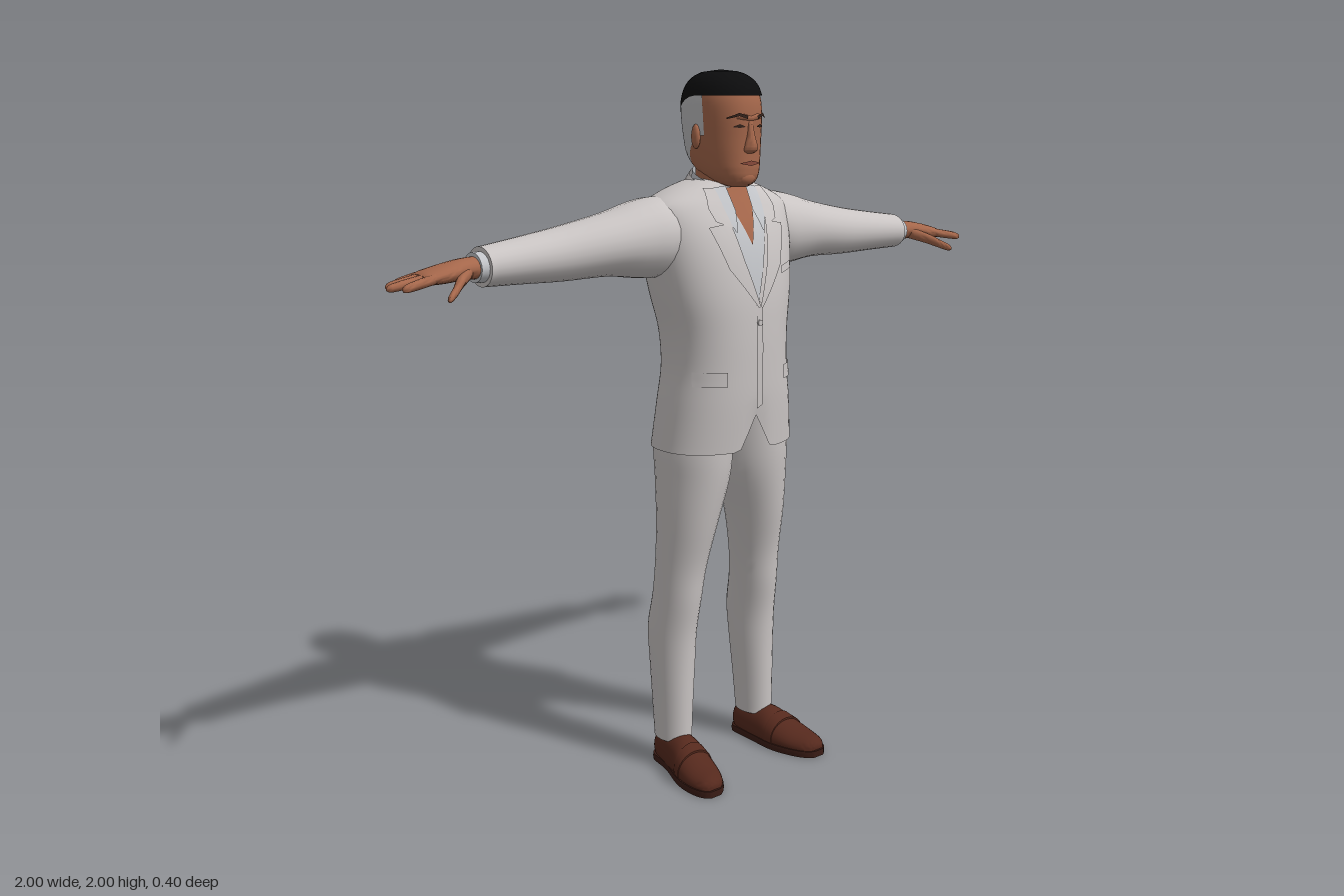
import * as THREE from 'three';
import { toCreasedNormals } from 'three/addons/utils/BufferGeometryUtils.js';

const mat = (name, color) => new THREE.MeshStandardMaterial({ name, color, side: THREE.DoubleSide });
const M = {
  suit: mat('suit cloth', 0xc9c4c3), shirt: mat('shirt cloth', 0xc2c4c8), skin: mat('skin', 0xa5674b),
  lip: mat('lips', 0x87493a), black: mat('black hair', 0x0c0c0d), grey: mat('grey hair', 0xbcbcbe),
  brow: mat('brows and eyes', 0x35241d), shoe: mat('shoe leather', 0x55291d), sole: mat('shoe sole', 0x3a1c15),
};

// Smoothly subdivide sections [along, c1, c2, r1, r2, exponent]
function dense(sec, k = 4) {
  const out = [], n = sec.length, g = i => sec[Math.min(Math.max(i, 0), n - 1)];
  for (let i = 0; i < n - 1; i++) for (let j = 0; j < k; j++) {
    const t = j / k;
    out.push([0, 1, 2, 3, 4, 5].map(c => {
      const [a, b, d, e] = [g(i - 1), g(i), g(i + 1), g(i + 2)].map(s => s[c] ?? 2);
      return b + 0.5 * t * (d - a + t * (2 * a - 5 * b + 4 * d - e + t * (3 * (b - d) + e - a)));
    }));
  }
  out.push([0, 1, 2, 3, 4, 5].map(c => sec[n - 1][c] ?? 2));
  return out;
}
const spow = (v, e) => Math.sign(v) * Math.abs(v) ** e;
const ringPoint = ([y, cx, cz, rx, rz, e], a, s = 1) => new THREE.Vector3(
  cx + s * Math.max(rx, 5e-4) * spow(Math.cos(a), 2 / e), y, cz + s * Math.max(rz, 5e-4) * spow(Math.sin(a), 2 / e));

// Section at a given height, and the front surface depth there
function sectionAt(D, y) {
  let i = 0;
  while (i < D.length - 2 && D[i + 1][0] < y) i++;
  const t = THREE.MathUtils.clamp((y - D[i][0]) / (D[i + 1][0] - D[i][0]), 0, 1);
  return D[i].map((v, c) => v + (D[i + 1][c] - v) * t);
}
function frontZ(D, x, y) {
  const [, cx, cz, rx, rz, e] = sectionAt(D, y);
  return cz + rz * Math.max(0, 1 - Math.abs((x - cx) / rx) ** e) ** (1 / e);
}

// Grid surface from f(column, row)
function grid(cols, rows, f, caps = false, crease = 0.9) {
  const p = [], idx = [], w = cols + 1;
  for (let r = 0; r <= rows; r++) for (let c = 0; c <= cols; c++) p.push(f(c, r));
  for (let r = 0; r < rows; r++) for (let c = 0; c < cols; c++) {
    const a = r * w + c, b = a + 1, d = a + w, e = d + 1;
    idx.push(a, d, b, b, d, e);
  }
  if (caps) for (const r of [0, rows]) {
    const mid = new THREE.Vector3();
    for (let c = 0; c < cols; c++) mid.addScaledVector(p[r * w + c], 1 / cols);
    const m = p.push(mid) - 1;
    for (let c = 0; c < cols; c++) {
      const a = r * w + c;
      idx.push(m, ...(r ? [a + 1, a] : [a, a + 1]));
    }
  }
  const geo = new THREE.BufferGeometry().setFromPoints(p);
  geo.setIndex(idx);
  return toCreasedNormals(geo, crease);
}

// Loft along x, y or z
function loft(sec, { axis = 'y', n = 20, caps = true, tweak = null, k = 4 } = {}) {
  const D = dense(sec, k);
  return grid(n, D.length - 1, (c, r) => {
    let v = ringPoint(D[r], (c % n) / n * Math.PI * 2);
    if (axis === 'x') v = new THREE.Vector3(v.y, v.z, v.x);
    if (axis === 'z') v = new THREE.Vector3(v.z, v.x, v.y);
    if (tweak) tweak(v);
    return v;
  }, caps);
}

// Thin panel laid on a front surface between two edge lines of [x, y] points
function drape(D, A, B, off) {
  const k = 5, n = 8, rows = (A.length - 1) * k;
  const at = (L, r) => {
    const i = Math.min(Math.floor(r / k), L.length - 2), t = r / k - i;
    return [0, 1].map(c => L[i][c] + (L[i + 1][c] - L[i][c]) * t);
  };
  return grid(n, rows, (c, r) => {
    const a = at(A, r), b = at(B, r), t = c / n;
    const x = a[0] + (b[0] - a[0]) * t, y = a[1] + (b[1] - a[1]) * t;
    return new THREE.Vector3(x, y, frontZ(D, x, y) + off);
  });
}

function mirrored(geo) {
  const g = geo.clone();
  for (const name of ['position', 'normal']) {
    const a = g.attributes[name];
    for (let i = 0; i < a.count; i += 3) {
      const v = [0, 2, 1].map(j => new THREE.Vector3().fromBufferAttribute(geo.attributes[name], i + j));
      v.forEach((q, j) => a.setXYZ(i + j, -q.x, q.y, q.z));
    }
  }
  return g;
}

const TORSO = [
  [0.97, 0, -0.022, 0.213, 0.155, 2.3], [1.1, 0, -0.012, 0.196, 0.154, 2.3], [1.2, 0, -0.008, 0.182, 0.152, 2.3],
  [1.3, 0, -0.013, 0.185, 0.156, 2.3], [1.4, 0, -0.026, 0.205, 0.163, 2.3], [1.5, 0, -0.04, 0.222, 0.16, 2.3],
  [1.58, 0, -0.05, 0.232, 0.145, 2.3], [1.64, 0, -0.054, 0.228, 0.117, 2.3], [1.675, 0, -0.055, 0.175, 0.098, 2.2],
  [1.7, 0, -0.052, 0.11, 0.082, 2], [1.715, 0, -0.045, 0.055, 0.06, 2]];
const HEAD = [
  [1.692, 0, 0.05, 0.025, 0.03], [1.705, 0, 0.04, 0.05, 0.056, 2.2], [1.73, 0, 0.012, 0.069, 0.092, 2.3],
  [1.77, 0, -0.008, 0.08, 0.112, 2.3], [1.82, 0, -0.014, 0.086, 0.118, 2.3], [1.88, 0, -0.017, 0.089, 0.123, 2.3],
  [1.925, 0, -0.018, 0.089, 0.119, 2.2], [1.96, 0, -0.018, 0.079, 0.104, 2.1], [1.983, 0, -0.02, 0.058, 0.075],
  [1.993, 0, -0.022, 0.03, 0.04], [1.996, 0, -0.022, 0.002, 0.002]];

export function createModel() {
  const root = new THREE.Group();
  root.name = 'suitedMan';
  const add = (name, geo, m) => {
    const mesh = new THREE.Mesh(geo, m);
    mesh.name = name;
    root.add(mesh);
  };
  const pair = (name, geo, m) => {
    add(name + 'Left', geo, m);
    add(name + 'Right', mirrored(geo), m);
  };
  const T = dense(TORSO), H = dense(HEAD);

  // Jacket with cutaway front hem and back vent
  add('jacketBody', loft(TORSO, { n: 64, caps: false, tweak: v => {
    const fade = Math.max(0, 1 - (v.y - 0.97) / 0.16);
    const lift = v.z > 0 ? 0.1 * Math.max(0, 1 - Math.abs(v.x) / 0.055) : 0.06 * Math.max(0, 1 - Math.abs(v.x) / 0.015);
    v.y += lift * fade;
  } }), M.suit);
  pair('sleeve', loft([
    [0.12, -0.06, 1.575, 0.09, 0.085], [0.2, -0.067, 1.56, 0.115, 0.108], [0.27, -0.07, 1.555, 0.112, 0.102],
    [0.36, -0.072, 1.548, 0.099, 0.084], [0.5, -0.082, 1.532, 0.08, 0.071], [0.62, -0.082, 1.524, 0.069, 0.06],
    [0.73, -0.076, 1.518, 0.061, 0.051]], { axis: 'x', n: 24 }), M.suit);

  // Shirt, open neck, lapels and front details
  add('shirtFront', drape(T, [[-0.085, 1.685], [-0.05, 1.55], [-0.002, 1.39]], [[0.085, 1.685], [0.05, 1.55], [0.002, 1.39]], 0.003), M.shirt);
  add('openNeck', drape(T, [[-0.05, 1.69], [-0.03, 1.62], [-0.001, 1.54]], [[0.05, 1.69], [0.03, 1.62], [0.001, 1.54]], 0.006), M.skin);
  pair('shirtCollarPoint', drape(T, [[0.035, 1.695], [0.03, 1.63], [0.045, 1.575]], [[0.075, 1.69], [0.07, 1.62], [0.05, 1.575]], 0.011), M.shirt);
  pair('lapelUpper', drape(T, [[0.072, 1.69], [0.068, 1.64], [0.058, 1.585]], [[0.1, 1.69], [0.115, 1.64], [0.105, 1.605]], 0.014), M.suit);
  pair('lapelLower', drape(T, [[0.062, 1.6], [0.04, 1.5], [0, 1.375]], [[0.128, 1.59], [0.09, 1.48], [0.006, 1.37]], 0.012), M.suit);
  add('frontOverlap', drape(T, [[-0.008, 1.4], [-0.008, 1.09]], [[0.012, 1.38], [0.012, 1.1]], 0.004), M.suit);
  pair('pocketFlap', drape(T, [[0.1, 1.2], [0.1, 1.16]], [[0.171, 1.2], [0.173, 1.16]], 0.006), M.suit);
  add('breastPocket', drape(T, [[0.1, 1.475], [0.1, 1.455]], [[0.155, 1.485], [0.155, 1.465]], 0.005), M.suit);
  const button = new THREE.CylinderGeometry(0.008, 0.008, 0.006, 12).rotateX(Math.PI / 2).translate(0, 1.33, frontZ(T, 0, 1.33) + 0.006);
  add('jacketButton', button, M.suit);

  // Collars slope down toward the front
  const slope = v => { v.y -= 0.42 * (v.z + 0.045); };
  add('jacketCollar', loft([[1.655, 0, -0.04, 0.107, 0.098], [1.685, 0, -0.037, 0.094, 0.086], [1.712, 0, -0.034, 0.081, 0.075]],
    { n: 32, caps: false, tweak: slope }), M.suit);
  add('shirtCollar', loft([[1.66, 0, -0.034, 0.082, 0.077], [1.724, 0, -0.032, 0.073, 0.069]], { n: 32, caps: false, tweak: slope }), M.shirt);
  add('neck', loft([[1.6, 0, -0.045, 0.07, 0.07], [1.68, 0, -0.032, 0.065, 0.068], [1.78, 0, -0.024, 0.064, 0.07]]), M.skin);

  // Head, hair and face
  add('head', loft(HEAD, { n: 36 }), M.skin);
  const hair = (from, to, low, high, s) => grid(40, 14, (c, r) => {
    const a = from + (to - from) * c / 40, y = low(a) + (high(a) - low(a)) * r / 14;
    const v = ringPoint(sectionAt(H, y), a, s);
    v.y += (s - 1) * 0.1;
    return v;
  });
  const back = a => Math.max(0, -Math.sin(a));
  const line = a => 1.928 - 0.065 * back(a) ** 1.6;
  add('blackHair', hair(0, Math.PI * 2, line, () => 1.996, 1.045), M.black);
  add('greyHair', hair(Math.PI - 0.2, Math.PI * 2 + 0.2, a => 1.825 - 0.08 * Math.min(1, back(a) * 1.7), a => line(a) + 0.004, 1.035), M.grey);
  add('nose', loft([[1.782, 0, 0.098, 0.012, 0.008], [1.79, 0, 0.103, 0.021, 0.018], [1.805, 0, 0.104, 0.018, 0.02],
    [1.83, 0, 0.102, 0.011, 0.016], [1.865, 0, 0.1, 0.009, 0.008]], { n: 14 }), M.skin);
  add('browRidge', loft([[-0.062, 0.07, 1.874, 0.006, 0.006], [-0.03, 0.095, 1.878, 0.011, 0.009], [0, 0.1, 1.874, 0.009, 0.008],
    [0.03, 0.095, 1.878, 0.011, 0.009], [0.062, 0.07, 1.874, 0.006, 0.006]], { axis: 'x', n: 12 }), M.skin);
  pair('eyebrow', drape(H, [[0.016, 1.88], [0.04, 1.888], [0.066, 1.876]], [[0.018, 1.872], [0.04, 1.88], [0.066, 1.872]], 0.009), M.brow);
  pair('eye', drape(H, [[0.02, 1.853], [0.035, 1.859], [0.05, 1.853]], [[0.02, 1.851], [0.035, 1.849], [0.05, 1.851]], 0.003), M.brow);
  add('mouth', drape(H, [[-0.032, 1.757], [0, 1.763], [0.032, 1.757]], [[-0.032, 1.755], [0, 1.749], [0.032, 1.755]], 0.004), M.lip);
  add('chin', new THREE.SphereGeometry(0.026, 16, 10).scale(1.15, 0.8, 0.7).translate(0, 1.718, 0.086), M.skin);
  pair('ear', new THREE.SphereGeometry(0.03, 14, 10).scale(0.38, 1.1, 0.65).rotateY(0.3).toNonIndexed().translate(0.092, 1.825, -0.015), M.skin);

  // Cuffs and hands
  pair('shirtCuff', loft([[0.7, -0.075, 1.518, 0.049, 0.041], [0.752, -0.073, 1.518, 0.046, 0.038]], { axis: 'x' }), M.shirt);
  pair('palm', loft([[0.73, -0.073, 1.518, 0.036, 0.029], [0.79, -0.069, 1.517, 0.041, 0.027], [0.84, -0.067, 1.511, 0.052, 0.024],
    [0.89, -0.069, 1.504, 0.053, 0.018], [0.905, -0.069, 1.502, 0.046, 0.012]], { axis: 'x' }), M.skin);
  const fingers = [['index', -0.031, 0.975, -0.014], ['middle', -0.057, 1, -0.048], ['ring', -0.083, 0.985, -0.084], ['little', -0.107, 0.945, -0.124]];
  for (const [name, z0, tip, z1] of fingers) {
    const at = (t, r) => [0.875 + (tip - 0.875) * t, z0 + (z1 - z0) * t, 1.506 - 0.018 * t, r, r];
    pair(name + 'Finger', loft([at(0, 0.013), at(0.5, 0.0125), at(0.9, 0.01), at(1, 0.003)], { axis: 'x', n: 10, k: 3 }), M.skin);
  }
  pair('thumb', loft([[0.775, -0.05, 1.512, 0.018, 0.018], [0.82, -0.015, 1.494, 0.019, 0.016], [0.85, 0.014, 1.477, 0.014, 0.013],
    [0.875, 0.033, 1.464, 0.01, 0.01], [0.884, 0.038, 1.46, 0.003, 0.003]], { axis: 'x', n: 12 }), M.skin);

  // Trousers
  pair('trouserLeg', loft([
    [0.085, 0.156, -0.056, 0.05, 0.064], [0.2, 0.154, -0.06, 0.054, 0.071], [0.32, 0.151, -0.064, 0.06, 0.078],
    [0.42, 0.149, -0.065, 0.063, 0.085], [0.52, 0.144, -0.048, 0.064, 0.083], [0.62, 0.137, -0.037, 0.069, 0.084],
    [0.75, 0.124, -0.024, 0.081, 0.1], [0.88, 0.106, -0.022, 0.098, 0.12], [0.98, 0.1, -0.024, 0.102, 0.13],
    [1.1, 0.09, -0.02, 0.088, 0.125]], { n: 28 }), M.suit);

  // Shoes turned slightly outward, with strap and sole
  const floor = (lo, hi) => v => { v.y = THREE.MathUtils.clamp(v.y, lo, hi); };
  pair('shoe', loft([
    [-0.113, 0.045, 0.152, 0.035, 0.028], [-0.095, 0.045, 0.153, 0.054, 0.044], [-0.04, 0.04, 0.158, 0.068, 0.05],
    [0.02, 0.035, 0.166, 0.07, 0.056], [0.07, 0.03, 0.176, 0.052, 0.062], [0.13, 0.026, 0.187, 0.036, 0.056],
    [0.175, 0.024, 0.194, 0.028, 0.04], [0.194, 0.022, 0.197, 0.016, 0.02]], { axis: 'z', n: 24, tweak: floor(0.012, 1) }), M.shoe);
  pair('shoeStrap', loft([[0.045, 0.032, 0.171, 0.067, 0.061], [0.075, 0.03, 0.177, 0.056, 0.064]], { axis: 'z', n: 24, tweak: floor(0.014, 1) }), M.shoe);
  pair('shoeSole', loft([
    [-0.116, 0.01, 0.152, 0.04, 0.03], [-0.095, 0.01, 0.153, 0.04, 0.047], [-0.02, 0.01, 0.16, 0.04, 0.052],
    [0.07, 0.01, 0.176, 0.04, 0.066], [0.135, 0.01, 0.188, 0.04, 0.059], [0.18, 0.01, 0.195, 0.04, 0.041],
    [0.2, 0.01, 0.198, 0.04, 0.018]], { axis: 'z', n: 24, tweak: floor(0, 0.02) }), M.sole);
  return root;
}
